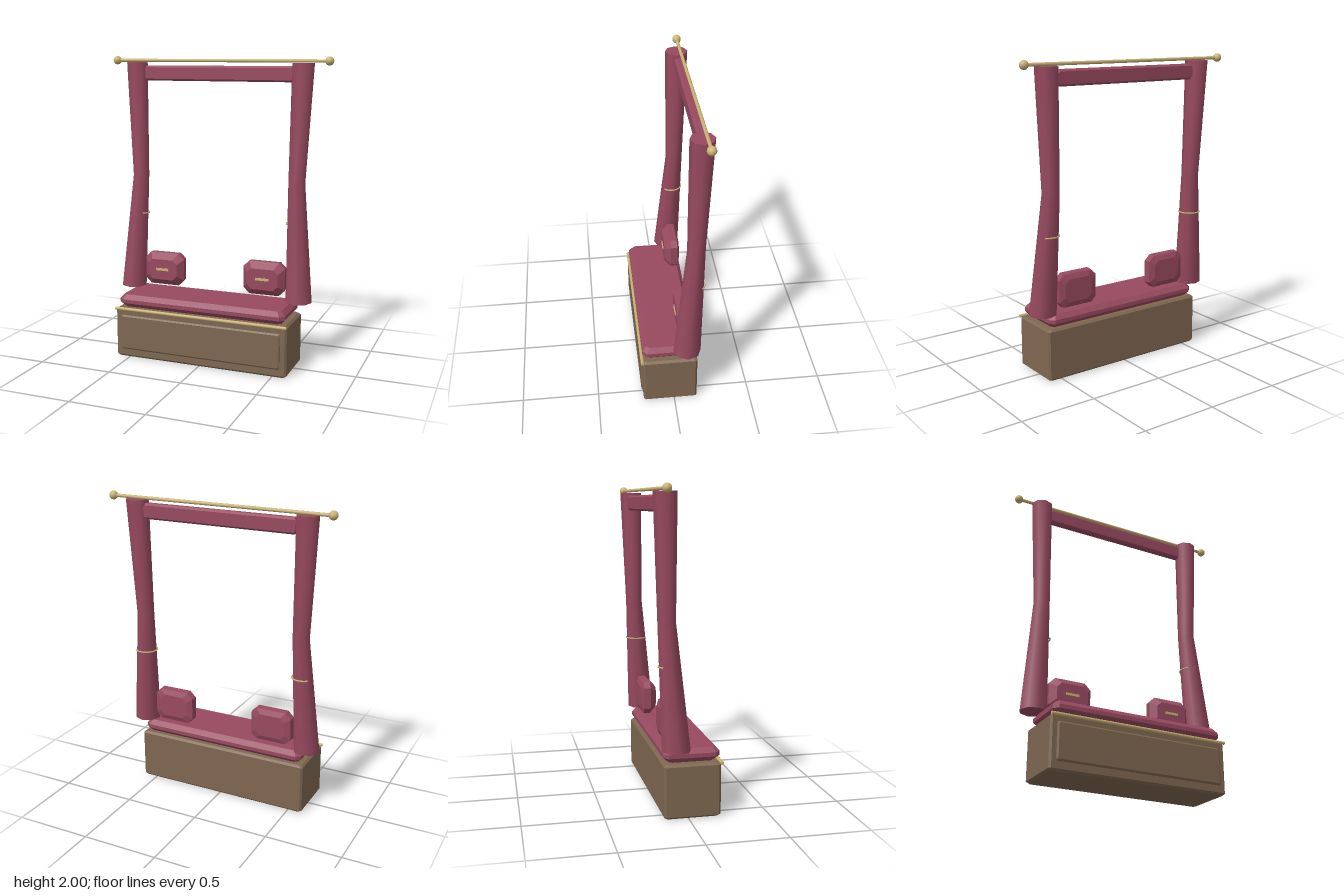
import * as THREE from 'three';
import { toCreasedNormals } from 'three/addons/utils/BufferGeometryUtils.js';

const mat = (name, color) => new THREE.MeshStandardMaterial({ name, color });

// Skins a stack of convex rings and closes both ends; faceted normals.
function loft(rings) {
  const pos = [];
  const n = rings[0].length;
  const tri = (a, b, c) => pos.push(...a, ...b, ...c);
  for (let i = 0; i < rings.length - 1; i++) {
    for (let j = 0; j < n; j++) {
      const k = (j + 1) % n;
      const lo = rings[i], hi = rings[i + 1];
      tri(lo[j], lo[k], hi[k]);
      tri(lo[j], hi[k], hi[j]);
    }
  }
  const first = rings[0], last = rings[rings.length - 1];
  for (let j = 1; j < n - 1; j++) {
    tri(first[0], first[j + 1], first[j]);
    tri(last[0], last[j], last[j + 1]);
  }
  const geo = new THREE.BufferGeometry();
  geo.setAttribute('position', new THREE.Float32BufferAttribute(pos, 3));
  geo.computeVertexNormals();
  return geo;
}

// Rectangle with cut corners, counter-clockwise seen from +z.
function cutRect(halfW, halfH, cut, z) {
  const a = halfW, b = halfH, c = cut;
  return [[a, -b + c], [a, b - c], [a - c, b], [-a + c, b],
    [-a, b - c], [-a, -b + c], [-a + c, -b], [a - c, -b]].map(([x, y]) => [x, y, z]);
}

// Block with bevelled faces: layers of [halfW, halfH, cut, z].
const block = (layers) => loft(layers.map((l) => cutRect(...l)));

export function createModel() {
  const fabric = mat('burgundy fabric', 0x984a60);
  const wood = mat('brown wood', 0x7f6751);
  const brass = mat('brass', 0xcbb376);
  const model = new THREE.Group();
  const add = (name, geo, material, x = 0, y = 0, z = 0) => {
    const mesh = new THREE.Mesh(geo, material);
    mesh.name = name;
    mesh.position.set(x, y, z);
    model.add(mesh);
    return mesh;
  };

  // Bench chest with a raised front panel and brass edging
  const chest = block([
    [0.58, 0.163, 0.012, 0], [0.595, 0.176, 0.012, 0.013],
    [0.595, 0.176, 0.012, 0.327], [0.58, 0.163, 0.012, 0.34],
  ]).rotateX(-Math.PI / 2);
  add('benchChest', chest, wood, 0, 0, 0.026);
  const panel = block([
    [0.555, 0.118, 0.008, 0], [0.555, 0.118, 0.008, 0.008], [0.545, 0.108, 0.006, 0.015],
  ]);
  add('chestFrontPanel', panel, wood, 0, 0.175, 0.2);
  const trim = new THREE.CylinderGeometry(0.011, 0.011, 1.19, 8).rotateZ(Math.PI / 2);
  add('chestTrim', trim, brass, 0, 0.335, 0.208);

  // Seat cushion
  const cushion = block([
    [0.545, 0.14, 0.02, 0.343], [0.575, 0.176, 0.03, 0.375],
    [0.575, 0.176, 0.03, 0.4], [0.548, 0.15, 0.02, 0.43],
  ]).rotateX(-Math.PI / 2);
  add('seatCushion', cushion, fabric, 0, 0, 0.028);

  // Curtains, pinched in the middle: [x, y, z, radius]
  const drape = [
    [0.593, 0.43, -0.078, 0.088], [0.552, 1.2, -0.128, 0.056], [0.577, 1.96, -0.142, 0.073],
  ];
  const sides = 8;
  for (const s of [1, -1]) {
    const side = s > 0 ? 'left' : 'right';
    const rings = drape.map(([x, y, z, r]) => Array.from({ length: sides }, (_, j) => {
      const a = (j / sides) * Math.PI * 2;
      return [s * x + r * Math.cos(a), y, z - r * Math.sin(a)];
    }));
    add(side + 'Curtain', toCreasedNormals(loft(rings), 0.9), fabric);

    // Tieback wraps the inner and rear half of the curtain
    const tie = new THREE.TorusGeometry(0.07, 0.005, 6, 20, Math.PI)
      .rotateX(-Math.PI / 2).rotateY(s * Math.PI / 4);
    add(side + 'Tieback', tie, brass, s * 0.566, 0.94, -0.111);

    // Throw pillow with a brass bar
    const pillow = block([
      [0.1, 0.075, 0.03, -0.055], [0.138, 0.108, 0.035, -0.04],
      [0.142, 0.112, 0.04, 0.005], [0.105, 0.07, 0.03, 0.048],
    ]);
    add(side + 'Pillow', pillow, fabric, s * 0.357, 0.565, -0.078);
    add(side + 'PillowBar', new THREE.BoxGeometry(0.09, 0.016, 0.009), brass, s * 0.357, 0.567, -0.028);
  }

  // Valance between the curtains
  const valance = block([
    [0.026, 0.035, 0.01, -0.515], [0.026, 0.05, 0.012, -0.505],
    [0.026, 0.05, 0.012, 0.505], [0.026, 0.035, 0.01, 0.515],
  ]).rotateY(Math.PI / 2);
  add('valance', valance, fabric, 0, 1.89, -0.149);

  // Curtain rod with ball finials
  const rod = new THREE.CylinderGeometry(0.011, 0.011, 1.48, 10).rotateZ(Math.PI / 2);
  add('curtainRod', rod, brass, 0, 1.973, -0.165);
  for (const s of [1, -1]) {
    add(s > 0 ? 'leftFinial' : 'rightFinial', new THREE.SphereGeometry(0.028, 16, 12), brass, s * 0.738, 1.973, -0.165);
  }
  return model;
}
